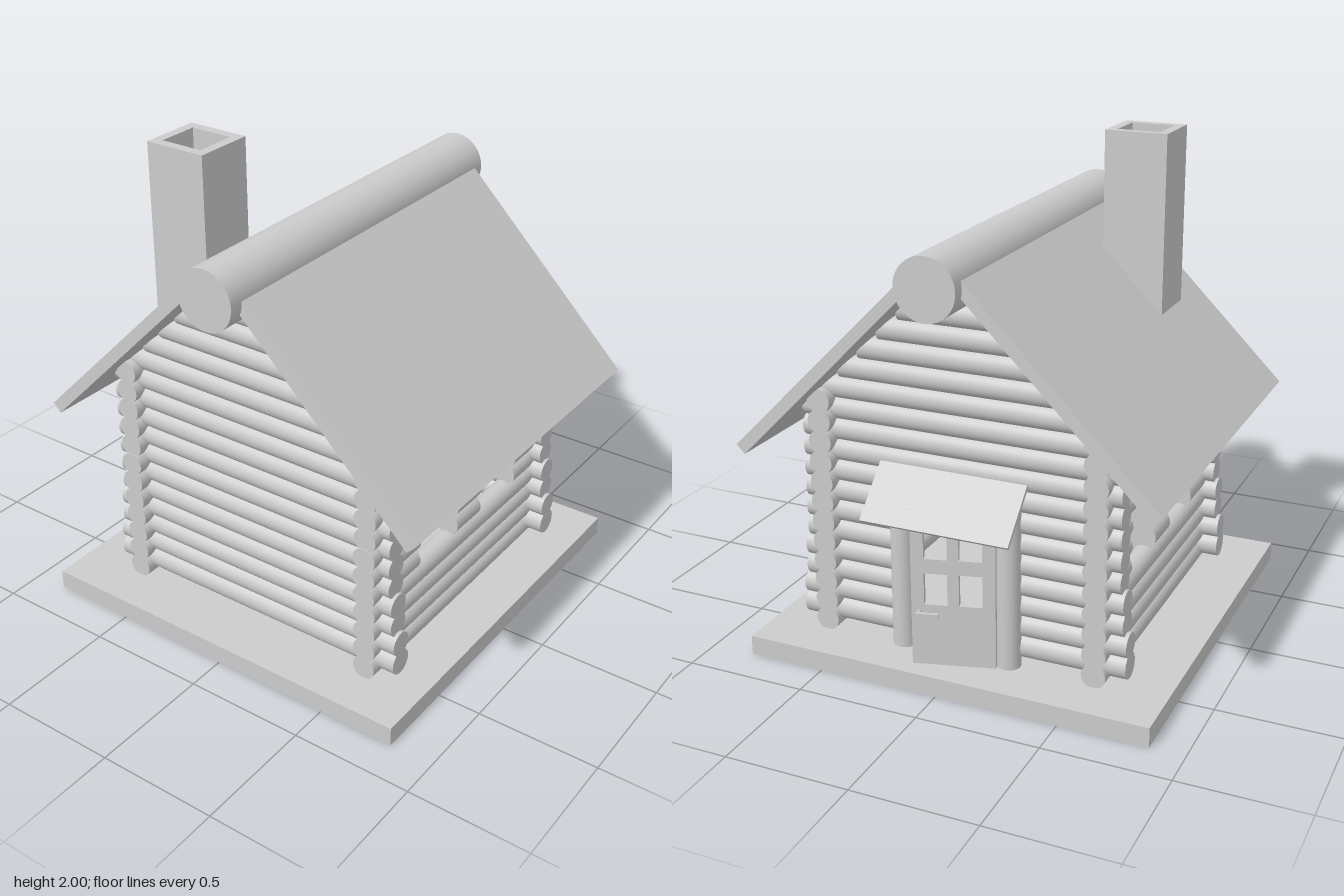
import * as THREE from 'three';

const grey = new THREE.MeshStandardMaterial({ color: 0xcccccc });
const PITCH = 0.0845;

function add(parent, name, geometry, x = 0, y = 0, z = 0) {
  const mesh = new THREE.Mesh(geometry, grey);
  mesh.name = name;
  mesh.position.set(x, y, z);
  parent.add(mesh);
  return mesh;
}

// A horizontal log running from a to b along the x or z axis
function log(parent, name, axis, a, b, y, offset, r = 0.049) {
  const geo = new THREE.CylinderGeometry(r, r, b - a, 28);
  const mid = (a + b) / 2;
  if (axis === 'x') return add(parent, name, geo.rotateZ(Math.PI / 2), mid, y, offset);
  return add(parent, name, geo.rotateX(Math.PI / 2), offset, y, mid);
}

function rectPath(Type, x0, y0, x1, y1) {
  const p = new Type();
  p.moveTo(x0, y0).lineTo(x1, y0).lineTo(x1, y1).lineTo(x0, y1).closePath();
  return p;
}

function rectShape(x0, y0, x1, y1, holes = []) {
  const s = new THREE.Shape([[x0, y0], [x1, y0], [x1, y1], [x0, y1]].map(p => new THREE.Vector2(...p)));
  s.holes = holes.map(h => new THREE.Path([[h[0], h[1]], [h[0], h[3]], [h[2], h[3]], [h[2], h[1]]].map(p => new THREE.Vector2(...p))));
  return s;
}

function group(parent, name) {
  const g = new THREE.Group();
  g.name = name;
  parent.add(g);
  return g;
}

export function createModel() {
  const model = new THREE.Group();
  model.name = 'logCabin';

  add(model, 'basePlate', new THREE.BoxGeometry(1.68, 0.08, 1.68), -0.02, 0.04, 0);

  // Side walls, each with two window openings
  for (const side of [-1, 1]) {
    const wall = group(model, side > 0 ? 'leftWall' : 'rightWall');
    for (let i = 0; i < 12; i++) {
      const y = 0.125 + PITCH * i;
      const spans = i >= 4 && i <= 6
        ? [[-0.66, -0.385], [-0.11, 0.07], [0.345, 0.665]]
        : [[-0.66, 0.66]];
      for (const [a, b] of spans) log(wall, 'sideLog', 'z', a, b, y, side * 0.572);
    }
  }

  // Gable walls: logs shorten under the roof, the back one has a doorway
  for (const side of [-1, 1]) {
    const wall = group(model, side > 0 ? 'frontWall' : 'backWall');
    for (let i = 0; i < 16; i++) {
      const y = 0.158 + 0.086 * i;
      const reach = i < 2 ? 0.69 : i < 4 ? 0.675 : 0.662;
      const half = Math.min(reach, 1.69 - y);
      const r = i === 0 ? 0.053 : 0.05;
      if (side < 0 && y < 0.72) {
        log(wall, 'gableLog', 'x', -half, -0.2, y, -0.58, r);
        log(wall, 'gableLog', 'x', 0.22, half, y, -0.58, r);
      } else {
        log(wall, 'gableLog', 'x', -half, half, y, side * 0.58, r);
      }
    }
  }

  // Roof: two sloping slabs and a round ridge beam
  for (const side of [-1, 1]) {
    const profile = new THREE.Shape([
      [0.05, 1.695], [0.05, 1.63], [0.832, 0.843], [0.867, 0.878],
    ].map(([x, y]) => new THREE.Vector2(side * x, y)));
    const slab = new THREE.ExtrudeGeometry(profile, { depth: 1.57, bevelEnabled: false });
    add(model, side > 0 ? 'leftRoof' : 'rightRoof', slab, 0, 0, -0.788);
  }
  add(model, 'ridgeBeam', new THREE.CylinderGeometry(0.122, 0.122, 1.68, 48).rotateX(Math.PI / 2), 0.01, 1.605, 0);

  // Hollow chimney standing on the floor
  const flue = new THREE.ExtrudeGeometry(
    rectShape(-0.13, -0.125, 0.13, 0.125, [[-0.09, -0.085, 0.09, 0.085]]),
    { depth: 1.92, bevelEnabled: false });
  add(model, 'chimney', flue.rotateX(-Math.PI / 2), -0.352, 0.08, 0.423);

  // Porch: posts and sloping canopy
  const porch = group(model, 'porch');
  for (const x of [-0.215, 0.235]) {
    add(porch, 'doorPost', new THREE.CylinderGeometry(0.048, 0.048, 0.65, 28), x, 0.405, -0.63);
  }
  const canopy = add(porch, 'canopy', new THREE.BoxGeometry(0.61, 0.015, 0.25), 0.005, 0.758, -0.735);
  canopy.rotation.x = -Math.PI / 4;

  // Door ajar, hinged at one post, with four panes and a lever handle
  const door = group(model, 'door');
  door.position.set(-0.18, 0, -0.665);
  door.rotation.y = 0.27;
  const panes = [];
  for (const x of [0.05, 0.185]) for (const y of [0.34, 0.53]) panes.push([x, y, x + 0.09, y + 0.13]);
  add(door, 'doorLeaf', new THREE.ExtrudeGeometry(rectShape(0, 0.085, 0.325, 0.73, panes),
    { depth: 0.025, bevelEnabled: false }), 0, 0, -0.025);
  for (const z of [-0.04, 0.015]) {
    add(door, 'handleStem', new THREE.CylinderGeometry(0.008, 0.008, 0.04, 12).rotateX(Math.PI / 2), 0.295, 0.31, z);
  }
  for (const z of [-0.055, 0.03]) {
    add(door, 'handleLever', new THREE.BoxGeometry(0.09, 0.016, 0.014), 0.26, 0.31, z);
  }

  return model;
}
